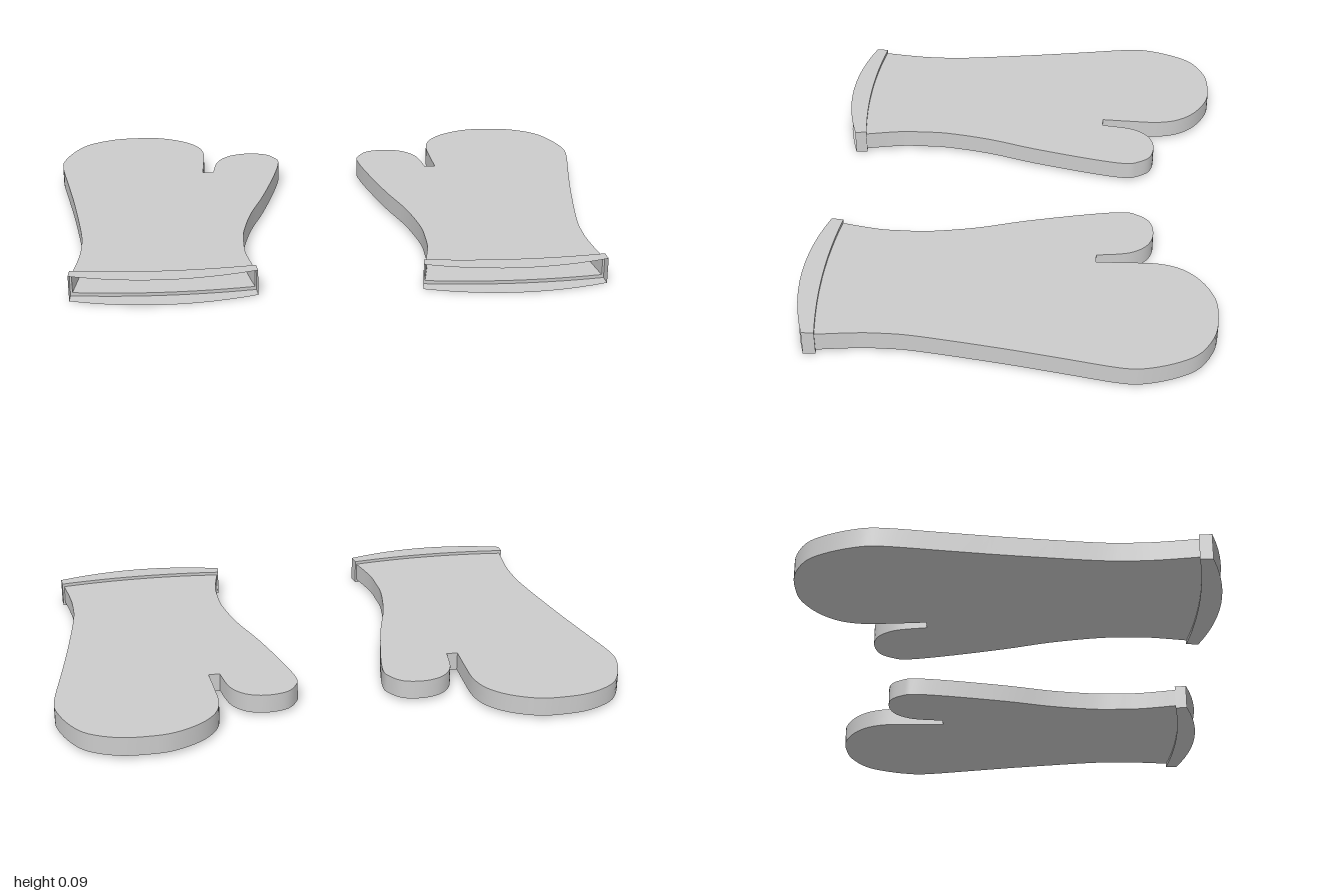
import * as THREE from 'three';
import { mergeGeometries, toCreasedNormals } from 'three/addons/utils/BufferGeometryUtils.js';

const BODY_Y = [0.012, 0.079];
const CUFF_Y = [0, 0.091];

// Outline points are [x, z] for the left mitten, counterclockwise from above.
const FINGERS = [
  [0.903, 0.618], [0.887, 0.49], [0.883, 0.4], [0.889, 0.28], [0.93, 0], [0.965, -0.2], [1, -0.4],
  [0.994, -0.49], [0.957, -0.59], [0.905, -0.66], [0.81, -0.708], [0.71, -0.719], [0.625, -0.71],
  [0.535, -0.665], [0.475, -0.6], [0.45, -0.52], [0.45, -0.42], [0.455, -0.3],
];
const THUMB = [
  [0.415, -0.3], [0.4, -0.4], [0.372, -0.455], [0.33, -0.488], [0.27, -0.5], [0.205, -0.485],
  [0.168, -0.44], [0.156, -0.39], [0.178, -0.26], [0.232, -0.04], [0.285, 0.135], [0.316, 0.3],
  [0.319, 0.4], [0.315, 0.49], [0.29, 0.618],
];

const spline = (pts, n) =>
  new THREE.SplineCurve(pts.map(([x, z]) => new THREE.Vector2(x, z))).getPoints(n);

// A bowed row of points from x0 to x1, bulging forward in the middle
function bow(x0, x1, z, depth, n = 12) {
  return Array.from({ length: n + 1 }, (_, i) => {
    const t = i / n;
    return new THREE.Vector2(x0 + (x1 - x0) * t, z + depth * 4 * t * (1 - t));
  });
}

// Ribbon of quads between two rows of equal length, each at its own height
function strip(rowA, yA, rowB, yB) {
  const pos = [], index = [];
  rowA.forEach((a, i) => pos.push(a.x, yA, a.y, rowB[i].x, yB, rowB[i].y));
  for (let i = 0; i < rowA.length - 1; i++) {
    const k = i * 2;
    index.push(k, k + 2, k + 3, k, k + 3, k + 1);
  }
  const g = new THREE.BufferGeometry();
  g.setAttribute('position', new THREE.Float32BufferAttribute(pos, 3));
  g.setIndex(index);
  g.computeVertexNormals();
  return toCreasedNormals(g, 0.7);
}

// Flat horizontal sheet facing up or down
function sheet(outline, y, up) {
  const shape = new THREE.Shape(outline.map(p => new THREE.Vector2(p.x, up ? -p.y : p.y)));
  const g = new THREE.ShapeGeometry(shape).rotateX(up ? -Math.PI / 2 : Math.PI / 2).translate(0, y, 0);
  g.deleteAttribute('uv');
  return g.toNonIndexed();
}

function createMitten(side, name) {
  const material = new THREE.MeshStandardMaterial({ color: 0xcccccc, side: THREE.DoubleSide });
  // Mirrored rows are reversed so the winding stays outward
  const place = pts => side > 0 ? pts : pts.map(p => new THREE.Vector2(-p.x, p.y)).reverse();
  const mitten = new THREE.Group();
  mitten.name = name;
  const add = (partName, parts) => {
    const mesh = new THREE.Mesh(mergeGeometries(parts), material);
    mesh.name = partName;
    mitten.add(mesh);
  };

  // Hollow hand, open at the wrist
  const edge = place([...spline(FINGERS, 68), ...spline(THUMB, 56)]);
  const wrist = place(bow(0.29, 0.903, 0.618, 0.022));
  const hand = [...edge, ...wrist.slice(1, -1)];
  add('hand', [
    sheet(hand, BODY_Y[1], true),
    sheet(hand, BODY_Y[0], false),
    strip(edge, BODY_Y[0], edge, BODY_Y[1]),
  ]);

  // Raised cuff band, open at the front
  const back = place(bow(0.285, 0.91, 0.617, 0.022));
  const front = place(bow(0.28, 0.912, 0.66, 0.053));
  const band = [...front, ...[...back].reverse()];
  const last = back.length - 1;
  const sideA = [back[0], front[0]], sideB = [front[last], back[last]];
  add('cuff', [
    sheet(band, CUFF_Y[1], true),
    sheet(band, CUFF_Y[0], false),
    strip(sideA, CUFF_Y[0], sideA, CUFF_Y[1]),
    strip(sideB, CUFF_Y[0], sideB, CUFF_Y[1]),
  ]);

  // Step between the hand and the cuff
  const backRev = [...back].reverse(), wristRev = [...wrist].reverse();
  const ends = [[wrist[0], back[0]], [back[last], wrist[last]]];
  add('cuffStep', [
    strip(wristRev, BODY_Y[1], backRev, CUFF_Y[1]),
    strip(backRev, CUFF_Y[0], wristRev, BODY_Y[0]),
    ...ends.map(e => strip([...e].reverse(), CUFF_Y[0], [...e].reverse(), CUFF_Y[1])),
  ]);
  return mitten;
}

export function createModel() {
  const model = new THREE.Group();
  model.name = 'ovenMitts';
  model.add(createMitten(1, 'leftMitten'), createMitten(-1, 'rightMitten'));
  return model;
}
